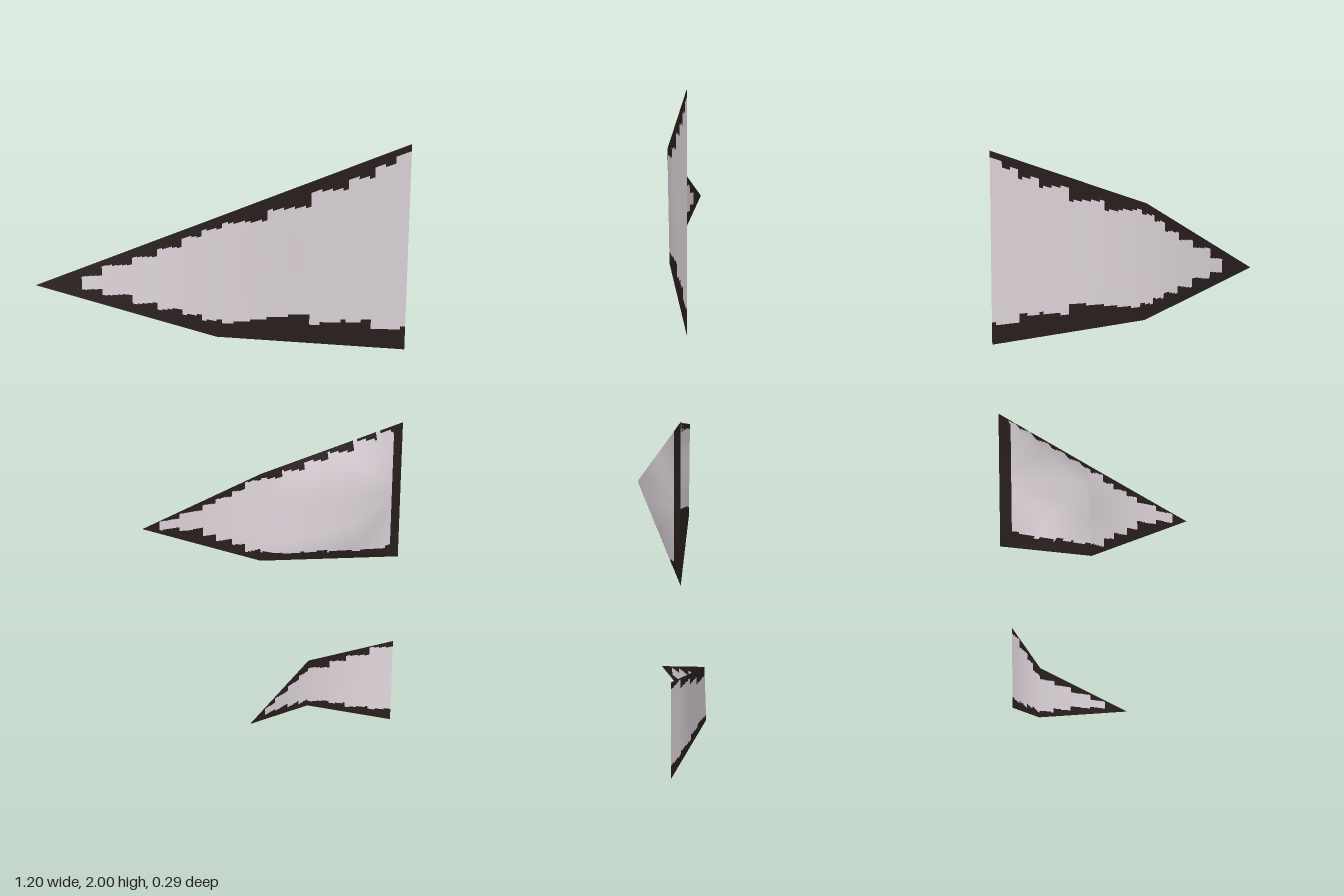
import * as THREE from 'three';

const plateMaterial = new THREE.MeshStandardMaterial({ color: 0xe2d9df, side: THREE.DoubleSide });
plateMaterial.name = 'pale grey';
const edgeMaterial = new THREE.MeshStandardMaterial({ color: 0x2a201f, side: THREE.DoubleSide });
edgeMaterial.name = 'dark brown';

const COLS = 36, ROWS = 60;

// stations: [x, top, bottom, z, z lean from bottom to top] for tip, shoulder and root
// steps: [start x, top, bottom] of the ragged pale field
const blades = [
  {
    name: 'upperBlade',
    stations: [[-0.6, 1.64, 1.64, 0.145, 0], [-0.06, 1.82, 1.457, 0.104, 0.006], [0.6, 2, 1.335, -0.145, 0]],
    steps: [[-0.47, 1.66, 1.62], [-0.4, 1.69, 1.6], [-0.32, 1.71, 1.57], [-0.24, 1.735, 1.55],
      [-0.17, 1.765, 1.53], [-0.1, 1.785, 1.51], [-0.04, 1.8, 1.495], [0.1, 1.83, 1.495],
      [0.25, 1.875, 1.457], [0.38, 1.905, 1.45], [0.47, 1.94, 1.415], [0.55, 1.97, 1.41]],
  },
  {
    name: 'middleBlade', bulge: { x: 0.33, y: 0.835, height: 0.153 },
    stations: [[-0.3, 0.85, 0.85, 0.12, 0], [0.1, 0.97, 0.668, -0.01, -0.004], [0.6, 1.09, 0.608, -0.125, 0]],
    steps: [[-0.24, 0.865, 0.835], [-0.18, 0.88, 0.82], [-0.1, 0.895, 0.79], [-0.05, 0.91, 0.765],
      [0, 0.925, 0.74], [0.05, 0.95, 0.71], [0.1, 0.957, 0.7], [0.17, 0.975, 0.69], [0.25, 0.997, 0.685],
      [0.33, 1.017, 0.675], [0.42, 1.047, 0.665], [0.5, 1.067, 0.665], [0.565, 0, 0]],
  },
  {
    name: 'lowerBlade',
    stations: [[0.05, 0.125, 0.125, 0.1, 0], [0.29, 0.24, 0.063, -0.115, 0.006], [0.585, 0.305, 0, -0.09, 0]],
    steps: [[0.11, 0.15, 0.125], [0.15, 0.167, 0.118], [0.2, 0.185, 0.102], [0.25, 0.2, 0.088],
      [0.29, 0.212, 0.08], [0.36, 0.235, 0.07], [0.42, 0.255, 0.053], [0.5, 0.283, 0.042]],
  },
];

// interpolate one station value along the blade
function along([a, b, c], x, k) {
  const [p, q] = x < b[0] ? [a, b] : [b, c];
  return p[k] + (q[k] - p[k]) * (x - p[0]) / (q[0] - p[0]);
}

// depth of the blade, with a four-sided bulge where there is one
function depth({ stations, bulge }, x, y) {
  const top = along(stations, x, 1), bottom = along(stations, x, 2);
  const v = THREE.MathUtils.clamp((y - bottom) / Math.max(top - bottom, 0.001), 0, 1);
  const z = along(stations, x, 3) + along(stations, x, 4) * (v - 0.5);
  if (!bulge) return z;
  const [, s, r] = stations;
  const rise = Math.min(
    (x - s[0]) / (bulge.x - s[0]),
    (r[0] - x) / (r[0] - bulge.x),
    (top - y) / (along(stations, bulge.x, 1) - bulge.y),
    (y - bottom) / (bulge.y - along(stations, bulge.x, 2)),
  );
  return z + bulge.height * Math.max(0, rise);
}

function makeBlade(blade) {
  const { stations, steps, bulge } = blade;
  const knots = stations.map((s) => s[0]);
  if (bulge) knots.splice(2, 0, bulge.x);
  const xs = [knots[0]];
  for (let k = 1; k < knots.length; k++) {
    for (let i = 1; i <= COLS; i++) xs.push(THREE.MathUtils.lerp(knots[k - 1], knots[k], i / COLS));
  }

  // grid points with broadly softened normals
  const positions = [], normals = [], h = 0.24;
  for (const x of xs) {
    const top = along(stations, x, 1), bottom = along(stations, x, 2);
    for (let j = 0; j <= ROWS; j++) {
      const y = THREE.MathUtils.lerp(bottom, top, j / ROWS);
      positions.push(x, y, depth(blade, x, y));
      const dx = (depth(blade, x + h, y) - depth(blade, x - h, y)) / (2 * h);
      const dy = (depth(blade, x, y + h) - depth(blade, x, y - h)) / (2 * h);
      normals.push(...new THREE.Vector3(-dx, -dy, 1).normalize().toArray());
    }
  }

  // sort cells into pale field and dark ragged edge
  const pale = [], dark = [];
  for (let i = 0; i < xs.length - 1; i++) {
    const x = (xs[i] + xs[i + 1]) / 2;
    const top = along(stations, x, 1), bottom = along(stations, x, 2);
    const step = steps.filter((s) => s[0] <= x).pop();
    for (let j = 0; j < ROWS; j++) {
      const y = THREE.MathUtils.lerp(bottom, top, (j + 0.5) / ROWS);
      const target = step && y < step[1] && y > step[2] ? pale : dark;
      const a = i * (ROWS + 1) + j, b = a + ROWS + 1;
      target.push(a, b, b + 1, a, b + 1, a + 1);
    }
  }

  const geometry = new THREE.BufferGeometry();
  geometry.setAttribute('position', new THREE.Float32BufferAttribute(positions, 3));
  geometry.setAttribute('normal', new THREE.Float32BufferAttribute(normals, 3));
  geometry.setIndex([...pale, ...dark]);
  geometry.addGroup(0, pale.length, 0);
  geometry.addGroup(pale.length, dark.length, 1);
  const mesh = new THREE.Mesh(geometry, [plateMaterial, edgeMaterial]);
  mesh.name = blade.name;
  return mesh;
}

export function createModel() {
  const model = new THREE.Group();
  model.name = 'bladeSet';
  model.add(...blades.map(makeBlade));
  return model;
}
